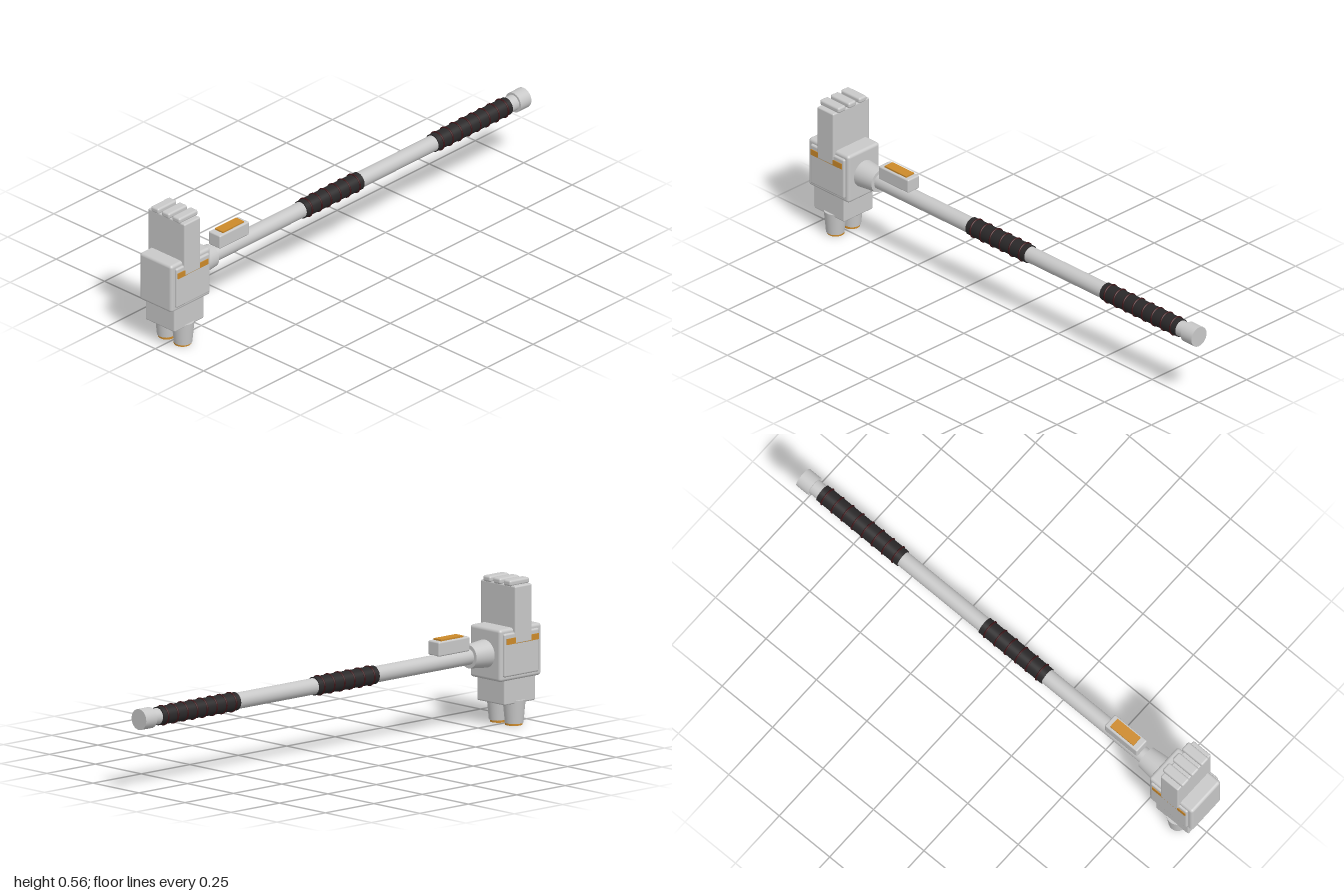
import * as THREE from 'three';
import { RoundedBoxGeometry } from 'three/addons/geometries/RoundedBoxGeometry.js';

const mat = (name, color) => Object.assign(new THREE.MeshStandardMaterial({ color }), { name });

export function createModel() {
  const steel = mat('steel', 0xc8c8c8);
  const amber = mat('amber', 0xcc8a2a);
  const rubber = mat('rubber', 0x2a2829);
  const darkRed = mat('darkRed', 0x3c1518);

  const model = new THREE.Group();
  const add = (name, geometry, material, x = 0, y = 0, z = 0) => {
    const mesh = new THREE.Mesh(geometry, material);
    mesh.name = name;
    mesh.position.set(x, y, z);
    model.add(mesh);
    return mesh;
  };
  // Box given by its extents on each axis
  const box = (name, material, [x0, x1], [y0, y1], [z0, z1], r = 0) => {
    const size = [x1 - x0, y1 - y0, z1 - z0];
    const g = r ? new RoundedBoxGeometry(...size, 3, r) : new THREE.BoxGeometry(...size);
    return add(name, g, material, (x0 + x1) / 2, (y0 + y1) / 2, (z0 + z1) / 2);
  };
  // Rod along z on the shaft axis, from z0 (radius r0) to z1 (radius r1)
  const axisY = 0.28;
  const rod = (name, material, z0, z1, r0, r1 = r0) => {
    const g = new THREE.CylinderGeometry(r1, r0, z1 - z0, 32).rotateX(Math.PI / 2);
    return add(name, g, material, 0, axisY, (z0 + z1) / 2);
  };

  // Head: main block, lower block and tall upper plate
  box('headBlock', steel, [-0.083, 0.083], [0.18, 0.38], [0.785, 1], 0.012);
  box('lowerBlock', steel, [-0.076, 0.076], [0.087, 0.2], [0.815, 0.975], 0.006);
  box('upperPlate', steel, [-0.095, 0.095], [0.32, 0.54], [0.853, 0.94], 0.006);

  // Three raised teeth on the upper plate
  for (const x of [-0.055, 0, 0.055])
    box('tooth', steel, [x - 0.02, x + 0.02], [0.537, 0.56], [0.845, 0.947], 0.008);

  for (const s of [-1, 1]) {
    // Cheek plate and glowing side strip
    const side = (a, b) => (s > 0 ? [a, b] : [-b, -a]);
    box('cheekPlate', steel, side(0.07, 0.092), [0.198, 0.364], [0.8, 0.98], 0.007);
    box('sideStrip', amber, side(0.085, 0.0945), [0.322, 0.345], [0.81, 0.975]);

    // Tapered nozzle with an amber lens underneath
    add('nozzle', new THREE.CylinderGeometry(0.0435, 0.035, 0.09, 32), steel, s * 0.0435, 0.053, 0.895);
    add('nozzleLens', new THREE.CylinderGeometry(0.033, 0.033, 0.009, 32), amber, s * 0.041, 0.0045, 0.895);
  }

  // Shaft, collar and pommel
  rod('shaft', steel, -0.97, 0.8, 0.031);
  rod('collar', steel, 0.7, 0.79, 0.045, 0.054);
  rod('pommel', steel, -1, -0.943, 0.04);

  // Ribbed grips
  for (const [z0, z1, count] of [[-0.1, 0.21, 6], [-0.905, -0.505, 8]]) {
    rod('grip', rubber, z0, z1, 0.035);
    for (let i = 0; i < count; i++) {
      const z = z0 + (i + 0.5) * (z1 - z0) / count;
      add('gripRing', new THREE.TorusGeometry(0.0355, 0.0035, 8, 32), darkRed, 0, axisY, z);
    }
  }

  // Control box with its panel
  box('controlBox', steel, [-0.03, 0.03], [0.308, 0.364], [0.52, 0.68], 0.006);
  box('controlPanel', amber, [-0.021, 0.021], [0.362, 0.37], [0.54, 0.655]);

  return model;
}
